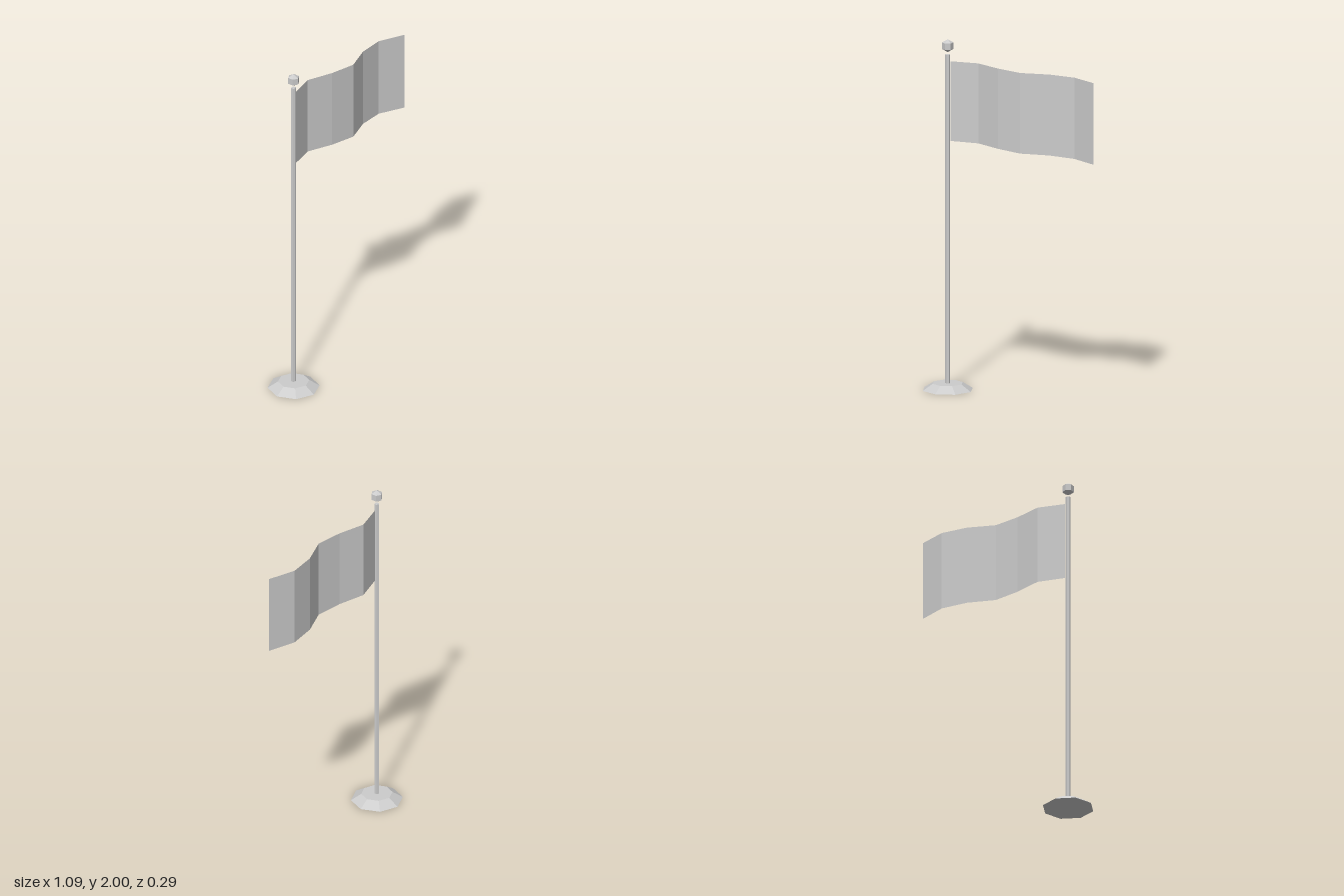
import * as THREE from 'three';

export function createModel() {
  const model = new THREE.Group();
  const grey = new THREE.MeshStandardMaterial({ name: 'grey', color: 0xcccccc, flatShading: true, side: THREE.DoubleSide });
  const poleX = -0.397;

  const add = (name, geometry, x, y, turn = 0) => {
    const mesh = new THREE.Mesh(geometry, grey);
    mesh.name = name;
    mesh.position.set(x, y, 0);
    mesh.rotation.y = turn;
    model.add(mesh);
  };

  // Tapered octagonal foot
  add('base', new THREE.CylinderGeometry(0.088, 0.146, 0.037, 8), poleX, 0.0185);

  // Thin six-sided pole
  add('pole', new THREE.CylinderGeometry(0.014, 0.014, 1.876, 6), poleX, 0.037 + 0.938);

  // Faceted ball floating just above the pole
  add('finial', new THREE.SphereGeometry(0.037, 6, 3), poleX, 1.963, Math.PI / 6);

  // Waving cloth: six panels, slightly drooping towards the free end
  const panels = 6;
  const cloth = new THREE.PlaneGeometry(1, 1, panels, 1);
  const p = cloth.attributes.position;
  for (let i = 0; i < p.count; i++) {
    const t = p.getX(i) + 0.5;
    const y = p.getY(i) > 0 ? 1.876 - 0.023 * t : 1.421 - 0.034 * t;
    p.setXYZ(i, -0.378 + 0.921 * t, y, -0.04 * Math.sin(1.7 * panels * t));
  }
  cloth.computeVertexNormals();
  add('flag', cloth, 0, 0);

  return model;
}
